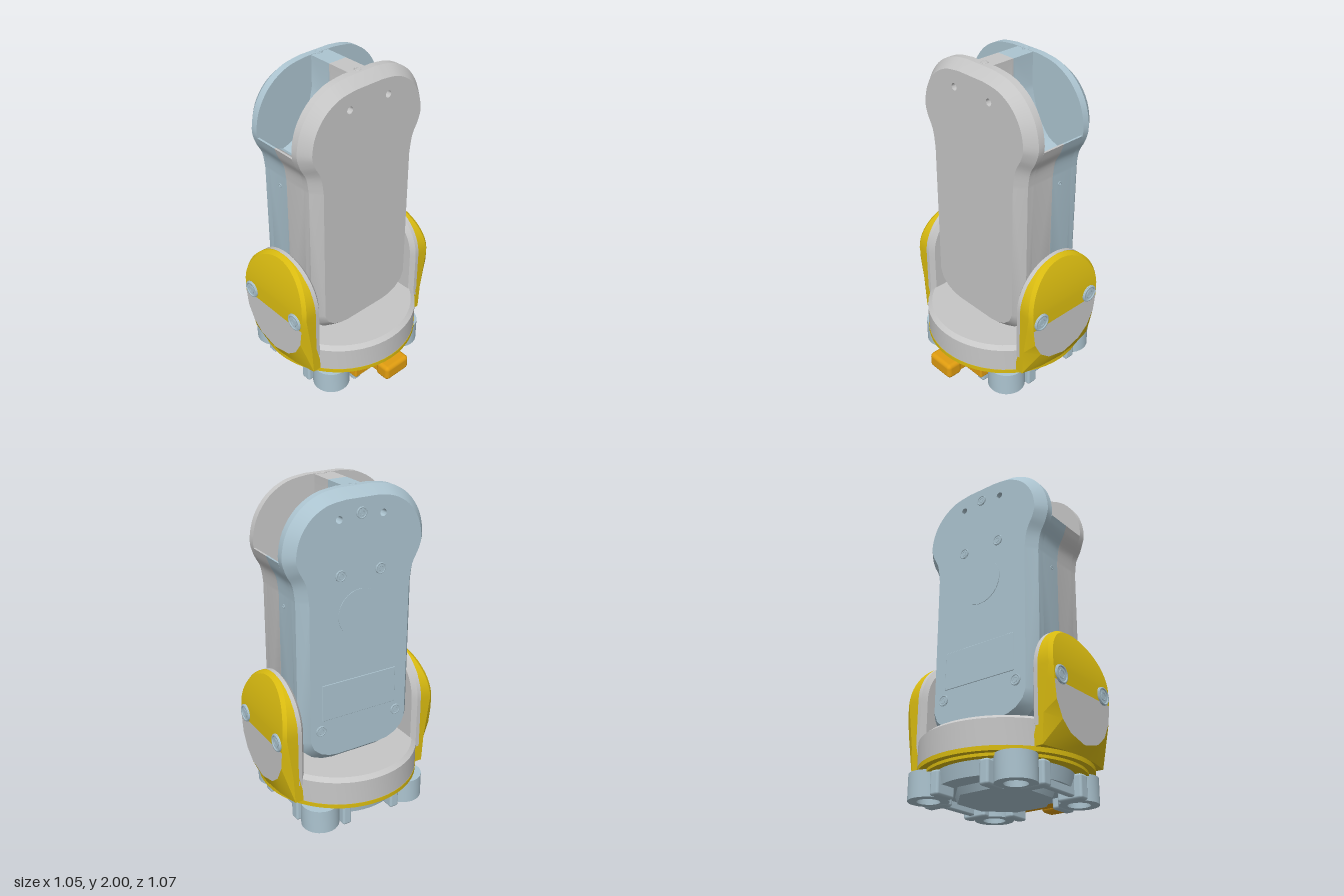
import * as THREE from 'three';
import { toCreasedNormals } from 'three/addons/utils/BufferGeometryUtils.js';
import { RoundedBoxGeometry } from 'three/addons/geometries/RoundedBoxGeometry.js';

const CX = -0.0325; // centre plane of the arm and base
const V = (x, y) => new THREE.Vector2(x, y);
const material = (name, color) => Object.assign(new THREE.MeshStandardMaterial({ color }), { name });

// Quads between successive closed rings of [x, y, z] points
function loftTriangles(rings, out) {
  for (let r = 0; r + 1 < rings.length; r++) {
    const a = rings[r], b = rings[r + 1], n = a.length;
    for (let i = 0; i < n; i++) {
      const j = (i + 1) % n;
      out.push(a[i], a[j], b[j], a[i], b[j], b[i]);
    }
  }
}
// Flat strips joining the right and left halves of a symmetric ring
function capTriangles(ring, from, to, front, out) {
  const n = ring.length;
  for (let i = from; i < to; i++) {
    const a = ring[i], b = ring[i + 1], c = ring[n - 2 - i], d = ring[n - 1 - i];
    if (front) out.push(a, b, c, a, c, d);
    else out.push(a, c, b, a, d, c);
  }
}
function toGeometry(points, crease = 0.5) {
  const g = new THREE.BufferGeometry();
  g.setAttribute('position', new THREE.Float32BufferAttribute(points.flat(), 3));
  return toCreasedNormals(g, crease);
}
const mirrored = (half) => [...half, ...half.slice().reverse().map((p) => V(-p.x, p.y))];

function inset(pts, d) {
  return pts.map((p, i) => {
    const a = pts[(i + pts.length - 1) % pts.length], b = pts[(i + 1) % pts.length];
    const t1 = p.clone().sub(a).normalize(), t2 = b.clone().sub(p).normalize();
    const n = V(-t1.y - t2.y, t1.x + t2.x).normalize();
    return p.clone().addScaledVector(n, d / Math.max(0.6, -t1.y * n.x + t1.x * n.y));
  });
}
// Side profile extruded along x from u0 to u1
function slab(points, u0, u1, holes = []) {
  const s = new THREE.Shape(points);
  for (const [z, y, r] of holes) s.holes.push(new THREE.Path().absarc(z, y, r, 0, Math.PI * 2, true));
  const g = new THREE.ExtrudeGeometry(s, { depth: u1 - u0, bevelEnabled: false, curveSegments: 10 });
  return toCreasedNormals(g.translate(0, 0, u0).rotateY(Math.PI / 2), 0.5);
}

export function createModel() {
  const root = new THREE.Group();
  root.name = 'jointedArm';
  const grey = material('lightGrey', 0xc6c6c6);
  const blue = material('paleBlue', 0xacc4d0);
  const yellow = material('yellow', 0xd8ba10);
  const orange = material('orange', 0xdf9c10);

  const add = (parent, name, geo, mat, x = 0, y = 0, z = 0) => {
    const m = new THREE.Mesh(geo, mat);
    m.name = name;
    m.position.set(x, y, z);
    parent.add(m);
    return m;
  };
  // Round screw facing +z, with a raised rim and a six-sided centre
  const screw = (parent, r, x, y, z, ry = 0) => {
    const g = new THREE.Group();
    g.name = 'screw';
    add(g, 'screwHead', new THREE.CylinderGeometry(r, r, 0.02, 24).rotateX(Math.PI / 2), blue);
    add(g, 'screwRim', new THREE.TorusGeometry(r * 0.85, r * 0.13, 6, 24), blue, 0, 0, 0.009);
    add(g, 'screwSocket', new THREE.TorusGeometry(r * 0.45, r * 0.1, 4, 6), blue, 0, 0, 0.009);
    g.position.set(x, y, z);
    g.rotation.y = ry;
    parent.add(g);
  };

  // Arm profile: narrow shaft with a rounded foot and a wide round head
  const foot = [V(0.15, 0.36), V(0.22, 0.37), V(0.29, 0.40), V(0.35, 0.455), V(0.38, 0.53)];
  const head = new THREE.SplineCurve([V(0.38, 1.4), V(0.395, 1.5), V(0.435, 1.58), V(0.455, 1.67), V(0.425, 1.8),
    V(0.345, 1.91), V(0.23, 1.978), V(0.1, 2)]).getPoints(28);
  const outer = mirrored([...foot, ...head]);
  const inner = inset(outer, 0.052);
  const shaft = [...foot, ...head.filter((p) => p.y < 1.61), V(0.453, 1.63)];
  const trough = new THREE.SplineCurve([V(0.28, 1.5), V(0.19, 1.54), V(0.1, 1.67), V(0.06, 1.81)]).getPoints(10);
  const lip = new THREE.SplineCurve([V(0.44, 1.63), V(0.38, 1.58), V(0.35, 1.53)]).getPoints(5);
  const core = mirrored([...shaft, ...lip, ...trough, V(0.06, 1.998)]);
  const filler = mirrored([...shaft, ...lip]);
  const web = mirrored([V(0.06, 1.81), V(0.06, 1.998)]);
  const ringAt = (pts, z) => pts.map((p) => [p.x, p.y, z]);

  // Two mirrored halves: open core, then a chamfered cheek
  for (const [side, mat, name] of [[1, grey, 'leftHalf'], [-1, blue, 'rightHalf']]) {
    const half = new THREE.Group();
    half.name = name;
    half.position.x = CX;
    half.scale.x = side;
    add(half, 'core', slab(core, 0.01, 0.1475), mat);
    add(half, 'coreFiller', slab(filler, 0, 0.01), mat);
    add(half, 'topBridge', slab(web, 0, 0.01), mat);
    add(half, 'cheekWall', slab(outer, 0.1475, 0.19), mat);
    const rim = [];
    loftTriangles([ringAt(outer, 0.19), ringAt(inner, 0.2525)], rim);
    add(half, 'cheekChamfer', toGeometry(rim).rotateY(Math.PI / 2), mat);
    add(half, 'cheekPlate', slab(inner, 0.19, 0.2525, [[-0.14, 1.845, 0.021], [0.14, 1.845, 0.021]]), mat);
    add(half, 'topHoleRim', new THREE.TorusGeometry(0.02, 0.004, 6, 20).rotateX(Math.PI / 2), mat, 0.155, 2, 0).position.y = 1.998;
    root.add(half);
  }
  for (const z of [-0.26, 0.26])
    add(root, 'crossPin', new THREE.CylinderGeometry(0.02, 0.02, 0.04, 12).rotateZ(Math.PI / 2), blue, CX, 1.58, z);
  for (const z of [-0.381, 0.381])
    add(root, 'shaftPort', new THREE.TorusGeometry(0.01, 0.003, 6, 16), blue, -0.09, 1.34, z);

  // Details of the blue cheek: round cover, lower panel and screws
  const faceX = CX - 0.2525;
  add(root, 'roundCover', new THREE.CylinderGeometry(0.145, 0.145, 0.006, 40).rotateZ(Math.PI / 2), blue, faceX, 1.29, 0);
  add(root, 'lowerPanel', new RoundedBoxGeometry(0.006, 0.23, 0.5, 2, 0.003), blue, faceX, 0.775, 0);
  for (const [z, y] of [[0, 1.865], [-0.13, 1.53], [0.13, 1.53], [-0.26, 0.6], [0.26, 0.6]])
    screw(root, 0.034, faceX + 0.006, y, z, -Math.PI / 2);

  // Turntable and its yellow flange
  const disc = [V(0, 0.19), V(0.495, 0.19), V(0.495, 0.338), V(0.468, 0.36), V(0, 0.36)];
  add(root, 'turntable', toCreasedNormals(new THREE.LatheGeometry(disc, 56), 0.5), grey, CX);
  add(root, 'flange', new THREE.CylinderGeometry(0.497, 0.497, 0.026, 56), yellow, CX, 0.177);
  add(root, 'flangeStep', new THREE.CylinderGeometry(0.46, 0.46, 0.02, 56), yellow, CX, 0.157);

  // Bracket: base outline, outer face outline and the depth of its shoulder edge
  const faceZ = (y) => (y < 0.57 ? 0.525 : 0.525 - 0.56 * (y - 0.57) ** 2 - 0.015 * (y - 0.57));
  const edge = [[0.01, 0.19, 0.497], [0.15, 0.19, 0.485], [0.285, 0.19, 0.455], [0.285, 0.36, 0.465], [0.285, 0.54, 0.49]];
  const face = [[0.01, 0.245], [0.13, 0.277], [0.2, 0.335], [0.25, 0.43], [0.265, 0.54]];
  for (let i = 0; i <= 14; i++) {
    const a = (i / 14) * Math.PI * 0.497, y = 0.63 + 0.285 * Math.sin(a);
    edge.push([0.285 * Math.cos(a), y, faceZ(y) - 0.02]);
    face.push([0.268 * Math.cos(a), 0.63 + 0.268 * Math.sin(a)]);
  }
  const both = (half, z) => [...half.map((p) => [p[0], p[1], z(p)]),
    ...half.slice().reverse().map((p) => [-p[0], p[1], z(p)])];
  const back = both(edge, (p) => (p[1] < 0.36 ? 0.43 - 0.25 * (0.36 - p[1]) : 0.43));
  const shoulder = both(edge, (p) => p[2]);
  const front = both(face, (p) => faceZ(p[1]));
  const last = face.length - 1;
  const shell = [], panel = [], pad = [];
  loftTriangles([back, shoulder, front], shell);
  capTriangles(front, 4, last, true, shell);
  capTriangles(back, 0, last, false, shell);
  capTriangles(front, 0, 4, true, panel);
  // Grey pad between the bracket and the arm
  const padEdge = edge.map(([x, y]) => [x, Math.max(y, 0.3)]);
  const padFace = padEdge.map(([x, y]) => [x * 0.9, 0.63 + (y - 0.63) * 0.9]);
  const padInner = both(padFace, () => 0.382);
  loftTriangles([padInner, both(padEdge, () => 0.405), both(padEdge, () => 0.431)], pad);
  capTriangles(padInner, 0, last, false, pad);

  for (const [name, turn] of [['frontBracket', 0], ['backBracket', Math.PI]]) {
    const g = new THREE.Group();
    g.name = name;
    g.position.x = CX;
    g.rotation.y = turn;
    add(g, 'bracketShell', toGeometry(shell, 0.35), yellow);
    add(g, 'bracketPanel', toGeometry(panel), grey);
    add(g, 'bracketPad', toGeometry(pad), grey);
    for (const x of [-0.203, 0.203]) screw(g, 0.055, x, 0.58, 0.519);
    root.add(g);
  }

  // Mounting base: plate, pad, four hollow corner bosses and ribs
  const base = new THREE.Group();
  base.name = 'mountingBase';
  base.position.x = -0.05;
  add(base, 'basePlate', new THREE.CylinderGeometry(0.4, 0.385, 0.085, 48), blue, 0, 0.108);
  add(base, 'basePad', new THREE.CylinderGeometry(0.29, 0.27, 0.05, 8).rotateY(Math.PI / 8), blue, 0, 0.05);
  const boss = new THREE.Shape().absarc(0, 0, 0.115, 0, Math.PI * 2);
  boss.holes.push(new THREE.Path().absarc(0, 0, 0.065, 0, Math.PI * 2, true));
  const bossGeo = toCreasedNormals(new THREE.ExtrudeGeometry(boss, { depth: 0.15, bevelEnabled: false, curveSegments: 16 })
    .rotateX(-Math.PI / 2), 0.5);
  for (const sx of [-1, 1]) for (const sz of [-1, 1]) {
    add(base, 'cornerBoss', bossGeo, blue, sx * 0.285, 0.01, sz * 0.3);
    add(base, 'endRib', new RoundedBoxGeometry(0.07, 0.14, 0.16, 2, 0.015), blue, sx * 0.17, 0.075, sz * 0.335);
    add(base, 'sideRib', new RoundedBoxGeometry(0.14, 0.14, 0.06, 2, 0.015), blue, sx * 0.32, 0.075, sz * 0.17);
  }
  for (const s of [-1, 1])
    add(base, 'endWall', new RoundedBoxGeometry(0.32, 0.1, 0.04, 2, 0.01), blue, 0, 0.07, s * 0.35);
  root.add(base);

  // Release latch
  add(root, 'latchPlate', new RoundedBoxGeometry(0.1, 0.07, 0.44, 2, 0.012), orange, 0.325, 0.1);
  add(root, 'latchNeck', new RoundedBoxGeometry(0.16, 0.06, 0.18, 2, 0.012), orange, 0.4, 0.11);
  add(root, 'latchHandle', new RoundedBoxGeometry(0.105, 0.1, 0.19, 4, 0.025), orange, 0.472, 0.112);
  return root;
}
